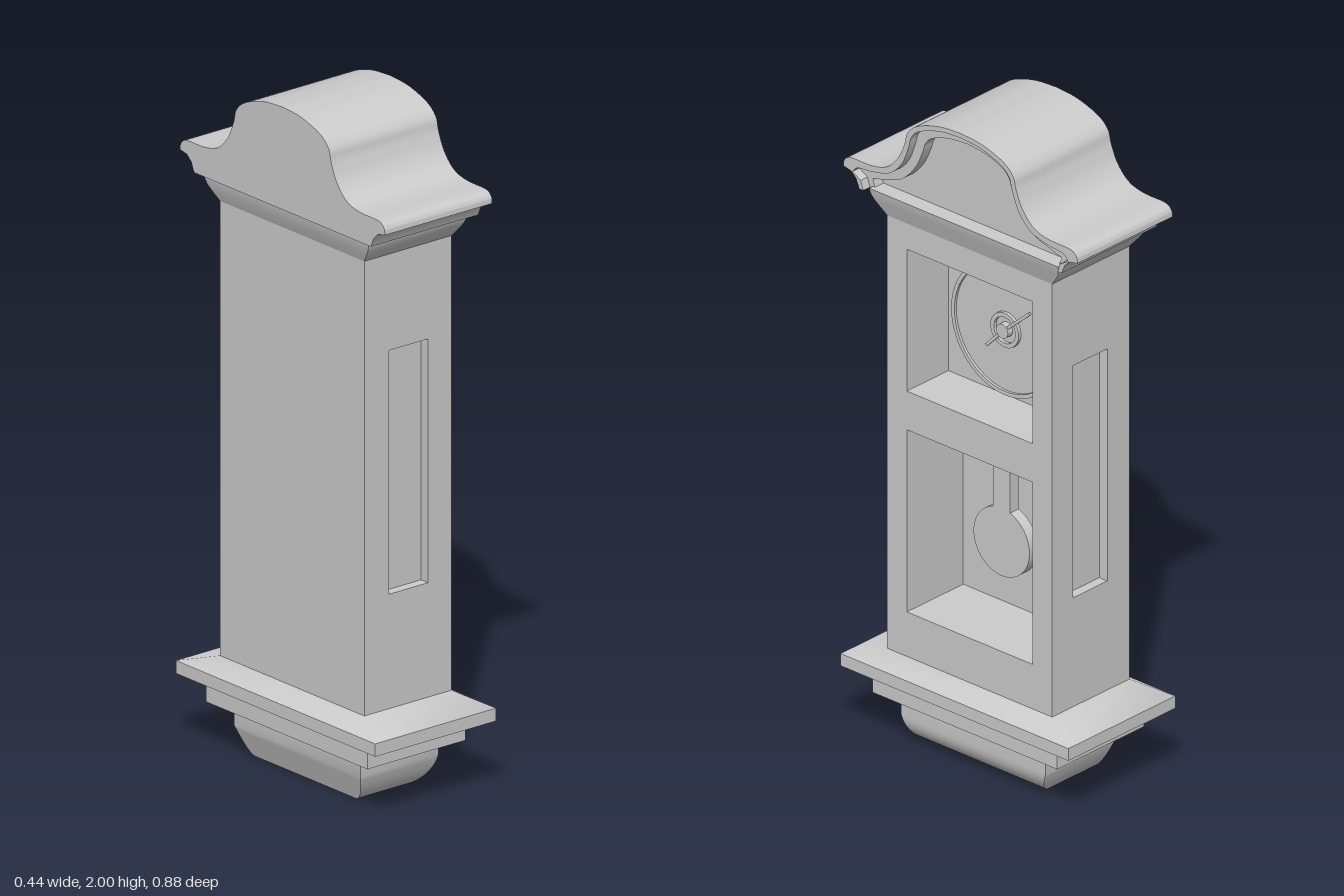
import * as THREE from 'three';
import { toCreasedNormals } from 'three/addons/utils/BufferGeometryUtils.js';

const material = new THREE.MeshStandardMaterial({ color: 0xcccccc });

function add(parent, name, geometry, x = 0, y = 0, z = 0) {
  const mesh = new THREE.Mesh(geometry, material);
  mesh.name = name;
  mesh.position.set(x, y, z);
  parent.add(mesh);
  return mesh;
}

function rect(Type, x0, y0, x1, y1) {
  return new Type([[x0, y0], [x1, y0], [x1, y1], [x0, y1]].map(p => new THREE.Vector2(...p)));
}

// Extrude a shape from z0 to z1, smoothing gentle curves only
function slab(shape, z0, z1) {
  const g = new THREE.ExtrudeGeometry(shape, { depth: z1 - z0, bevelEnabled: false, curveSegments: 48 });
  g.translate(0, 0, z0);
  return toCreasedNormals(g, 0.6);
}

// Stack of rectangles, each given as [y, half width, front z, back z]
function loft(rings) {
  const pos = [], idx = [];
  for (const [y, w, f, b] of rings) pos.push(-w, y, f, w, y, f, w, y, b, -w, y, b);
  for (let r = 0; r < rings.length - 1; r++) {
    for (let i = 0; i < 4; i++) {
      const a = r * 4 + i, c = r * 4 + (i + 1) % 4;
      idx.push(a, c, c + 4, a, c + 4, a + 4);
    }
  }
  const t = (rings.length - 1) * 4;
  idx.push(0, 2, 1, 0, 3, 2, t, t + 1, t + 2, t, t + 2, t + 3);
  const g = new THREE.BufferGeometry();
  g.setAttribute('position', new THREE.Float32BufferAttribute(pos, 3));
  g.setIndex(idx);
  return toCreasedNormals(g, 0.6);
}

// Arch outline, left foot to right foot: smooth half profile plus a straight foot, mirrored
function archOutline(half, foot) {
  const curve = new THREE.SplineCurve(half.map(p => new THREE.Vector2(...p)));
  const right = [...curve.getPoints(48), ...foot.map(p => new THREE.Vector2(...p))];
  const left = right.slice(1).reverse().map(p => new THREE.Vector2(-p.x, p.y));
  return [...left, ...right];
}

function disc(r, depth) {
  return new THREE.CylinderGeometry(r, r, depth, 64).rotateX(Math.PI / 2);
}

export function createModel() {
  const root = new THREE.Group();
  root.name = 'pendulumClock';
  const clock = new THREE.Group();
  clock.name = 'clock';
  clock.rotation.y = Math.PI / 2; // built facing +z, turned to face +x
  root.add(clock);

  // Lower drop with a rounded front and tapered sides
  const drop = [];
  for (let i = 0; i <= 10; i++) {
    const a = (i / 10) * Math.PI / 2, s = Math.sin(a), y = 0.085 * (1 - Math.cos(a));
    drop.push([y, 0.215 + 0.057 * Math.sqrt(y / 0.085), 0.055 + 0.085 * s, -0.112 - 0.03 * y / 0.085]);
  }
  drop.push([0.145, 0.272, 0.14, -0.142]);
  add(clock, 'baseDrop', loft(drop));

  // Base mouldings
  add(clock, 'lowerPlinth', loft([[0.14, 0.347, 0.175, -0.18], [0.212, 0.347, 0.175, -0.18]]));
  add(clock, 'basePlate', loft([[0.21, 0.428, 0.217, -0.22], [0.248, 0.428, 0.217, -0.22], [0.282, 0.31, 0.155, -0.16]]));

  // Case: layered so that the dial and pendulum compartments have their own depth
  const compartments = [[-0.236, 1.105, 0.236, 1.545], [-0.236, 0.42, 0.236, 0.985]];
  const caseLayer = holes => {
    const s = rect(THREE.Shape, -0.28, 0.27, 0.28, 1.63);
    s.holes = holes.map(h => rect(THREE.Path, ...h));
    return s;
  };
  add(clock, 'caseFront', slab(caseLayer(compartments), -0.015, 0.155));
  add(clock, 'caseMiddle', slab(caseLayer([compartments[1]]), -0.075, -0.015));
  add(clock, 'caseBack', slab(caseLayer([]), -0.16, -0.075));

  // Side cheeks with a sunken panel
  const cheek = rect(THREE.Shape, -0.155, 0.27, 0.16, 1.63);
  cheek.holes = [rect(THREE.Path, -0.07, 0.62, 0.07, 1.34)];
  for (const side of [-1, 1]) {
    const g = slab(cheek, 0, 0.03).rotateY(Math.PI / 2);
    g.translate(side > 0 ? 0.28 : -0.31, 0, 0);
    add(clock, side > 0 ? 'rightCheek' : 'leftCheek', g);
  }

  // Cornice under the crown
  add(clock, 'cornice', loft([
    [1.625, 0.31, 0.155, -0.16], [1.645, 0.327, 0.162, -0.168], [1.668, 0.345, 0.17, -0.176],
    [1.685, 0.352, 0.176, -0.18], [1.703, 0.355, 0.18, -0.183],
  ]));

  // Crown: solid arch with two stepped mouldings around a sunken front
  const outer = archOutline(
    [[0, 2], [0.08, 1.993], [0.16, 1.967], [0.198, 1.935], [0.21, 1.895], [0.235, 1.842],
      [0.278, 1.8], [0.335, 1.785], [0.412, 1.783], [0.436, 1.768], [0.44, 1.748]],
    [[0.41, 1.742], [0.392, 1.725], [0.38, 1.697]]);
  const middle = archOutline(
    [[0, 1.986], [0.075, 1.979], [0.15, 1.954], [0.183, 1.926], [0.195, 1.888], [0.22, 1.83],
      [0.266, 1.785], [0.33, 1.767], [0.385, 1.76], [0.405, 1.742]],
    [[0.375, 1.725], [0.365, 1.697]]);
  const inner = archOutline(
    [[0, 1.956], [0.07, 1.949], [0.132, 1.928], [0.157, 1.903], [0.168, 1.872], [0.196, 1.815],
      [0.248, 1.762], [0.315, 1.738], [0.355, 1.727]],
    [[0.345, 1.697]]);
  const band = (a, b) => new THREE.Shape([...a, ...[...b].reverse()]);
  add(clock, 'crown', slab(new THREE.Shape(outer), -0.195, 0.13));
  add(clock, 'crownInnerMoulding', slab(band(outer, inner), 0.13, 0.165));
  add(clock, 'crownOuterMoulding', slab(band(outer, middle), 0.165, 0.193));

  // Dial with rim, hub and hands
  const dial = new THREE.Group();
  dial.name = 'dial';
  dial.position.set(0, 1.322, -0.015);
  clock.add(dial);
  add(dial, 'dialPlate', disc(0.192, 0.018), 0, 0, 0.009);
  const ring = (r, hole) => {
    const s = new THREE.Shape().absarc(0, 0, r, 0, Math.PI * 2);
    s.holes = [new THREE.Path().absarc(0, 0, hole, 0, Math.PI * 2)];
    return s;
  };
  add(dial, 'dialRim', slab(ring(0.202, 0.19), 0, 0.026));
  add(dial, 'hubRing', slab(ring(0.053, 0.04), 0.015, 0.028));
  add(dial, 'hub', disc(0.022, 0.022), 0, 0, 0.027);
  for (const [name, length, angle] of [['minuteHand', 0.13, 0.72], ['hourHand', 0.092, 0.79 + Math.PI]]) {
    const hand = new THREE.BoxGeometry(length, 0.009, 0.006).translate(length / 2, 0, 0);
    add(dial, name, hand, 0, 0, 0.031).rotation.z = angle;
  }

  // Pendulum hanging in the lower compartment
  const bobR = 0.105, rodW = 0.032, a = Math.asin(rodW / bobR);
  const pendulum = new THREE.Shape();
  pendulum.moveTo(rodW, 0.99).lineTo(-rodW, 0.99);
  pendulum.absarc(0, 0.67, bobR, Math.PI / 2 + a, Math.PI * 2.5 - a, false);
  add(clock, 'pendulum', slab(pendulum, -0.01, 0.025));

  return root;
}
